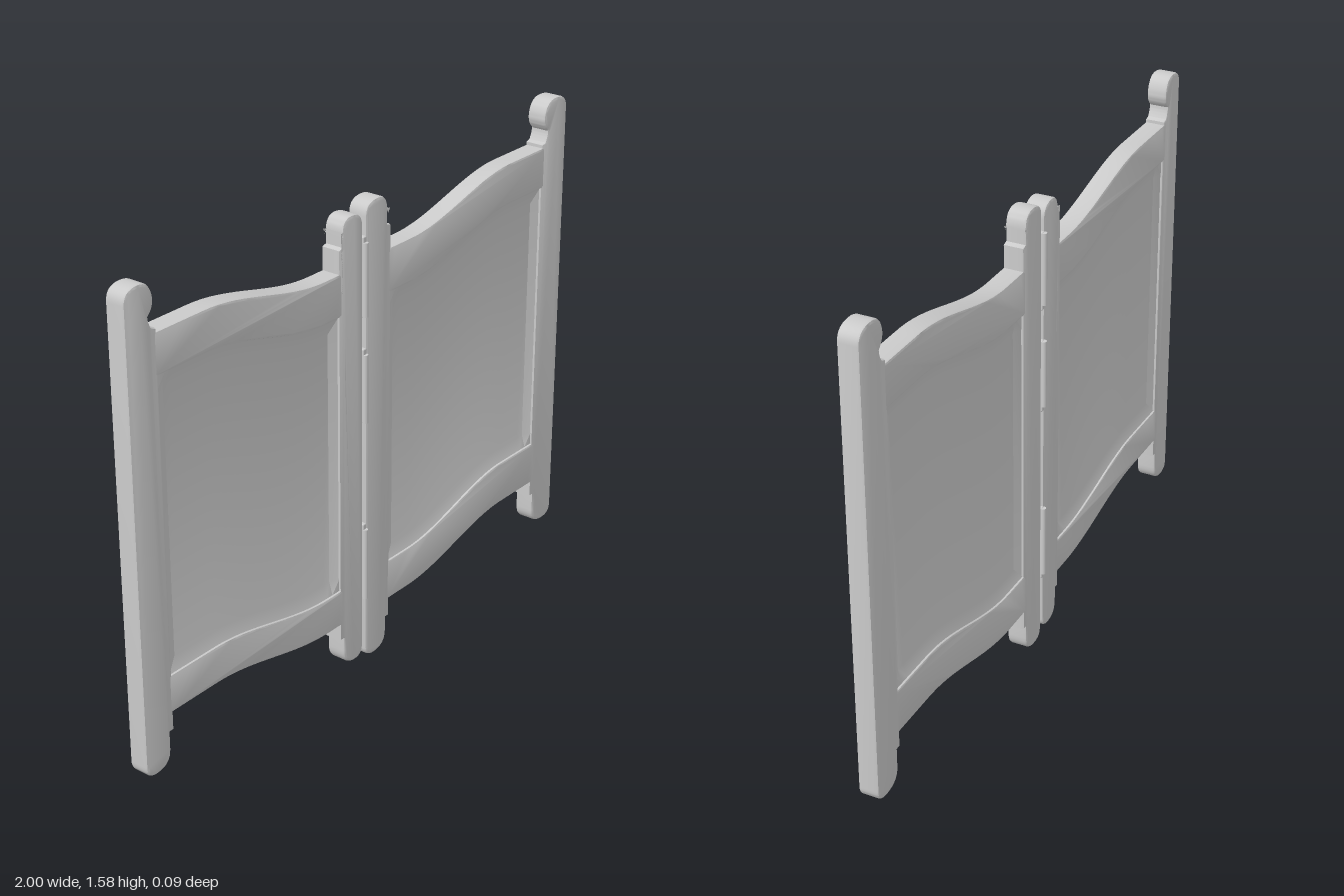
import * as THREE from 'three';
import { toCreasedNormals } from 'three/addons/utils/BufferGeometryUtils.js';
import { RoundedBoxGeometry } from 'three/addons/geometries/RoundedBoxGeometry.js';

const material = new THREE.MeshStandardMaterial({ color: 0xcccccc });
const HALF = 0.033; // half the thickness of the timber

function part(name, geometry) {
  const mesh = new THREE.Mesh(geometry, material);
  mesh.name = name;
  return mesh;
}

// Board cut from an outline, with softened edges, centred on z = 0
function board(name, shape, bevel) {
  const g = new THREE.ExtrudeGeometry(shape, {
    depth: 2 * (HALF - bevel), bevelEnabled: true, bevelThickness: bevel,
    bevelSize: bevel, bevelOffset: -bevel, bevelSegments: 2, curveSegments: 8,
  });
  g.translate(0, 0, bevel - HALF);
  return part(name, toCreasedNormals(g, 0.7));
}

// Upright post: flat on side xf, stepped on side xs, rounded at both ends
function stile(name, xf, xs, bottom, top, stepLow, stepHigh, lobe) {
  const d = Math.sign(xs - xf);
  const xn = xs - d * 0.016;
  const neck = xn - d * lobe;
  const mid = (xf + xn) / 2;
  const s = new THREE.Shape();
  s.moveTo(xf, bottom + 0.04);
  s.quadraticCurveTo(xf, bottom, mid - d * 0.01, bottom);
  s.quadraticCurveTo(xn, bottom, xn, bottom + 0.055);
  s.lineTo(xn, stepLow);
  s.lineTo(xs, stepLow);
  s.lineTo(xs, stepHigh);
  s.lineTo(xn, stepHigh + 0.005);
  s.quadraticCurveTo(neck, stepHigh + 0.025, neck, stepHigh + 0.04);
  s.quadraticCurveTo(xn + d * lobe, stepHigh + 0.06, xn + d * lobe * 0.7, top - 0.05);
  s.quadraticCurveTo(xn, top, mid + d * 0.005, top);
  s.quadraticCurveTo(xf, top, xf, top - 0.045);
  s.closePath();
  return board(name, s, 0.008);
}

// S-curve running from the hinge side height to the outer side height
const wave = (inner, outer) => (x) =>
  inner + (outer - inner) * THREE.MathUtils.smoothstep(Math.abs(x), 0.2, 0.7);

const steps = (a, b, n) => Array.from({ length: n + 1 }, (_, i) => a + (b - a) * i / n);

function rail(name, a, b, low, high) {
  const xs = steps(a, b, 24);
  const points = [
    ...xs.map((x) => new THREE.Vector2(x, low(x))),
    ...xs.reverse().map((x) => new THREE.Vector2(x, high(x))),
  ];
  return board(name, new THREE.Shape(points), 0.007);
}

// Sunken panel with a sloping border, one grid for each face
function panel(name, a, b, low, high) {
  const border = 0.035;
  const xs = [a, ...steps(a + border, b - border, 24), b];
  const cols = xs.length;
  const positions = [], index = [];
  for (const side of [1, -1]) {
    const base = positions.length / 3;
    xs.forEach((x, i) => {
      const rows = [low(x), low(x) + 0.042, high(x) - 0.045, high(x)];
      rows.forEach((y, j) => {
        const edge = i === 0 || i === cols - 1 || j === 0 || j === 3;
        positions.push(x, y, side * (edge ? 0.026 : 0.014));
      });
    });
    for (let i = 0; i < cols - 1; i++) {
      for (let j = 0; j < 3; j++) {
        const p = base + i * 4 + j, q = p + 4;
        if (side > 0) index.push(p, q, q + 1, p, q + 1, p + 1);
        else index.push(p, q + 1, q, p, p + 1, q + 1);
      }
    }
  }
  const g = new THREE.BufferGeometry();
  g.setAttribute('position', new THREE.Float32BufferAttribute(positions, 3));
  g.setIndex(index);
  return part(name, toCreasedNormals(g, 0.3));
}

function door(name, o) {
  const group = new THREE.Group();
  group.name = name;
  const a = Math.min(o.outer[1], o.inner[1]);
  const b = Math.max(o.outer[1], o.inner[1]);
  const [bottom, sill, head, top] = o.waves.map(([inner, outer]) => wave(inner, outer));
  group.add(
    stile('outerStile', ...o.outer, ...o.outerY, 0.012),
    stile('hingeStile', ...o.inner, ...o.innerY, 0),
    rail('bottomRail', a - 0.015, b + 0.015, bottom, sill),
    rail('topRail', a - 0.015, b + 0.015, head, top),
    panel('panel', a - 0.003, b + 0.003, sill, head),
  );
  return group;
}

export function createModel() {
  const model = new THREE.Group();
  model.name = 'doublePanelDoors';

  // Post sides are [flat, stepped]; heights are [bottom, top, lower step, upper step];
  // waves are [hinge side, outer side] for the four curved edges from low to high
  model.add(
    door('rightDoor', {
      outer: [-1, -0.885], outerY: [0.08, 1.56, 0.19, 1.42],
      inner: [-0.032, -0.14], innerY: [0.02, 1.49, 0.12, 1.4],
      waves: [[0.175, 0.25], [0.295, 0.37], [1.195, 1.285], [1.328, 1.41]],
    }),
    door('leftDoor', {
      outer: [1, 0.872], outerY: [0.085, 1.58, 0.2, 1.44],
      inner: [-0.018, 0.1], innerY: [0, 1.51, 0.1, 1.41],
      waves: [[0.162, 0.252], [0.297, 0.397], [1.198, 1.297], [1.338, 1.43]],
    }),
  );

  // Hinges filling the gap between the two doors
  for (const [low, high] of [[0.22, 0.48], [0.82, 1.06], [1.16, 1.41]]) {
    const hinge = new THREE.Group();
    hinge.name = 'hinge';
    const leaf = part('hingeLeaf', new RoundedBoxGeometry(0.016, high - low, 0.07, 2, 0.004));
    leaf.position.set(-0.025, (low + high) / 2, 0);
    hinge.add(leaf);
    for (const side of [1, -1]) {
      const pin = part('hingeBarrel', new THREE.CylinderGeometry(0.009, 0.009, high - low - 0.02, 12));
      pin.position.set(-0.025, (low + high) / 2 - side * 0.008, side * 0.036);
      hinge.add(pin);
    }
    model.add(hinge);
  }
  return model;
}
